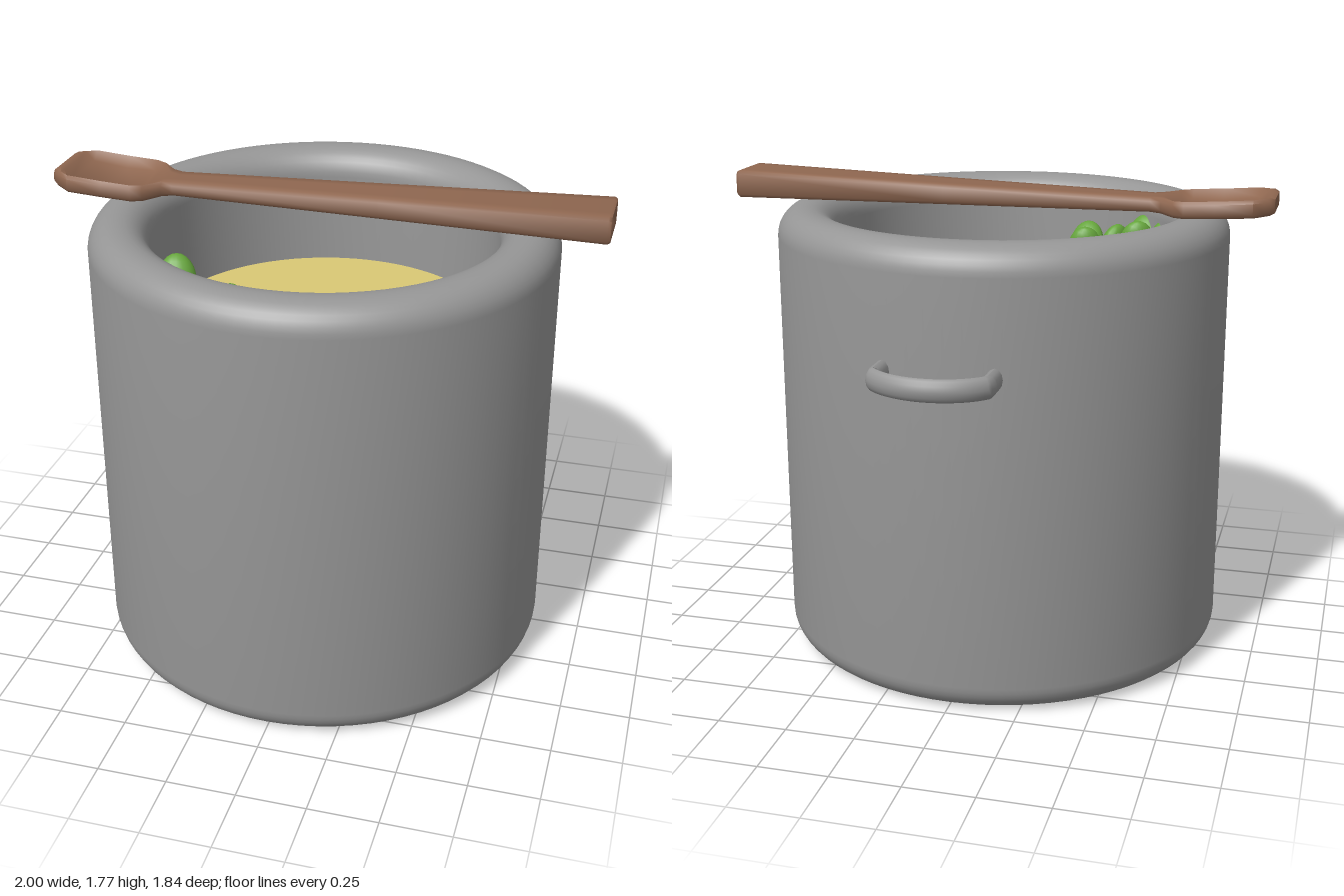
import * as THREE from 'three';
import { toCreasedNormals } from 'three/addons/utils/BufferGeometryUtils.js';
import { ConvexGeometry } from 'three/addons/geometries/ConvexGeometry.js';

const POT_Z = 0.09, SOUP_Y = 1.23;
const mat = (color) => new THREE.MeshStandardMaterial({ color });
const metal = mat(0x969696);
const wood = mat(0x8f6750);
const soupMat = mat(0xdac975);
const orange = mat(0xc46c2e);
const green = mat(0x66a53c);

function add(parent, name, geometry, material, x = 0, y = 0, z = 0) {
  const mesh = new THREE.Mesh(geometry, material);
  mesh.name = name;
  mesh.position.set(x, y, z);
  parent.add(mesh);
  return mesh;
}

// Quarter-round profile points
function arc(cx, cy, r, from, to, n = 8) {
  return Array.from({ length: n + 1 }, (_, i) => {
    const a = THREE.MathUtils.degToRad(from + ((to - from) * i) / n);
    return new THREE.Vector2(cx + r * Math.cos(a), cy + r * Math.sin(a));
  });
}

// Thick-walled pot with a rolled rim
function potGeometry() {
  const profile = [
    new THREE.Vector2(0, 0),
    ...arc(0.733, 0.1, 0.1, -90, 0),
    ...arc(0.733, 1.57, 0.1, 0, 90),
    ...arc(0.72, 1.57, 0.1, 90, 180),
    new THREE.Vector2(0.62, 0.15),
    new THREE.Vector2(0, 0.15),
  ];
  return toCreasedNormals(new THREE.LatheGeometry(profile, 80), 0.7);
}

// Bowed loop handle with cornered legs, taller than it is thick
function handleGeometry() {
  const path = new THREE.CurvePath();
  const v = (x, z) => new THREE.Vector3(x, 0, z);
  path.add(new THREE.LineCurve3(v(-0.195, -0.68), v(-0.195, -0.81)));
  path.add(new THREE.CubicBezierCurve3(v(-0.195, -0.81), v(-0.1, -0.92), v(0.1, -0.92), v(0.195, -0.81)));
  path.add(new THREE.LineCurve3(v(0.195, -0.81), v(0.195, -0.68)));
  const g = new THREE.TubeGeometry(path, 64, 0.027, 12);
  g.scale(1, 1.48, 1);
  g.computeVertexNormals();
  return g;
}

// Spoon lofted along x; dip hollows the top of each section
function spoonGeometry() {
  const sections = [ // x, half width, bottom, top, dip
    [-1.0, 0.1, 1.697, 1.745, 0],
    [-0.985, 0.112, 1.69, 1.752, 0],
    [-0.965, 0.126, 1.688, 1.75, 0.005],
    [-0.93, 0.152, 1.685, 1.748, 0.03],
    [-0.8, 0.152, 1.677, 1.738, 0.036],
    [-0.69, 0.152, 1.672, 1.732, 0.03],
    [-0.65, 0.134, 1.672, 1.73, 0.012],
    [-0.6, 0.08, 1.675, 1.73, 0],
    [-0.56, 0.068, 1.677, 1.728, 0],
    [0.2, 0.088, 1.674, 1.748, 0],
    [0.99, 0.108, 1.67, 1.77, 0],
    [1.0, 0.103, 1.675, 1.765, 0],
  ];
  const pos = [], idx = [], N = 10;
  for (const [x, w, b, t, dip] of sections) {
    const c = 0.012;
    const ring = [
      [-w + c, b], [w - c, b], [w, b + c], [w, t - c], [w - c, t],
      [w - 0.045, t - dip], [-w + 0.045, t - dip], [-w + c, t], [-w, t - c], [-w, b + c],
    ];
    for (const [z, y] of ring) pos.push(x, y, z);
  }
  for (let s = 0; s < sections.length - 1; s++) {
    for (let i = 0; i < N; i++) {
      const a = s * N + i, b = s * N + ((i + 1) % N);
      idx.push(a, b, a + N, b, b + N, a + N);
    }
  }
  const last = (sections.length - 1) * N;
  for (let i = 1; i < N - 1; i++) {
    idx.push(0, i + 1, i);
    idx.push(last, last + i, last + i + 1);
  }
  // Turn the surface outward if its signed volume is negative
  let volume = 0;
  const p = (i) => new THREE.Vector3().fromArray(pos, i * 3);
  for (let i = 0; i < idx.length; i += 3) volume += p(idx[i]).dot(p(idx[i + 1]).cross(p(idx[i + 2])));
  if (volume < 0) idx.reverse();
  const g = new THREE.BufferGeometry();
  g.setAttribute('position', new THREE.Float32BufferAttribute(pos, 3));
  g.setIndex(idx);
  return toCreasedNormals(g, 1.0);
}

// Vegetable chunk: corners at the soup surface rising to a peak
function chunk(parent, name, material, corners, peak) {
  const pts = corners.map(([x, z]) => new THREE.Vector3(x, SOUP_Y - 0.005, z));
  pts.push(new THREE.Vector3(...peak));
  add(parent, name, new ConvexGeometry(pts), material);
}

// Carrot standing in the soup with rounded leaves on top
function carrot(parent, x, z, top, leaves) {
  const group = new THREE.Group();
  group.name = 'carrot';
  group.position.set(x, top, z);
  const profile = [
    new THREE.Vector2(0, -0.4), new THREE.Vector2(0.055, -0.36),
    ...arc(0.05, -0.05, 0.045, 0, 90, 5), new THREE.Vector2(0, 0),
  ];
  add(group, 'carrotRoot', new THREE.LatheGeometry(profile, 20), orange);
  for (const [lx, lz, turn, lean] of leaves) {
    const leaf = add(group, 'carrotLeaf', new THREE.SphereGeometry(1, 16, 12), green, lx, 0.06, lz);
    leaf.scale.set(0.068, 0.095, 0.045);
    leaf.rotation.set(lean, turn, 0, 'YXZ');
  }
  parent.add(group);
}

export function createModel() {
  const model = new THREE.Group();
  model.name = 'soupPot';

  add(model, 'pot', potGeometry(), metal, 0, 0, POT_Z);
  add(model, 'rearHandle', handleGeometry(), metal, 0.02, 1.23, 0);
  add(model, 'spoon', spoonGeometry(), wood, 0, 0, 0.047);

  const soup = add(model, 'soup', new THREE.CircleGeometry(0.625, 64), soupMat, 0, SOUP_Y, POT_Z);
  soup.rotation.x = -Math.PI / 2;

  // Floating vegetables
  const veg = new THREE.Group();
  veg.name = 'vegetables';
  model.add(veg);
  chunk(veg, 'greenChunk', green, [[0.24, 0.3], [0.37, 0.24], [0.385, 0.39]], [0.355, 1.295, 0.31]);
  chunk(veg, 'orangeChunk', orange, [[0.15, 0.49], [0.25, 0.41], [0.26, 0.54]], [0.235, 1.28, 0.475]);
  chunk(veg, 'orangeChunk', orange, [[-0.47, 0.11], [-0.285, 0.23], [-0.28, 0.06]], [-0.34, 1.29, 0.13]);
  chunk(veg, 'orangeChunk', orange, [[-0.03, 0.06], [0.04, 0.14], [0.09, 0.04]], [0.04, 1.28, 0.08]);
  const cube = add(veg, 'greenCube', new THREE.BoxGeometry(0.16, 0.15, 0.165), green, -0.095, 1.195, 0.56);
  cube.rotation.set(0.06, -0.08, 0.05);

  // Carrots leaning by the front wall
  carrot(veg, -0.44, 0.435, 1.42, [[-0.01, -0.045, 0.3, -0.35], [-0.02, 0.055, -0.3, 0.35], [-0.09, 0, 1.4, -0.35]]);
  carrot(veg, -0.28, 0.495, 1.37, [[0.05, -0.015, 0.2, -0.35], [0.06, 0.075, -0.1, 0.45], [-0.05, 0.05, 1.1, -0.3]]);

  return model;
}
